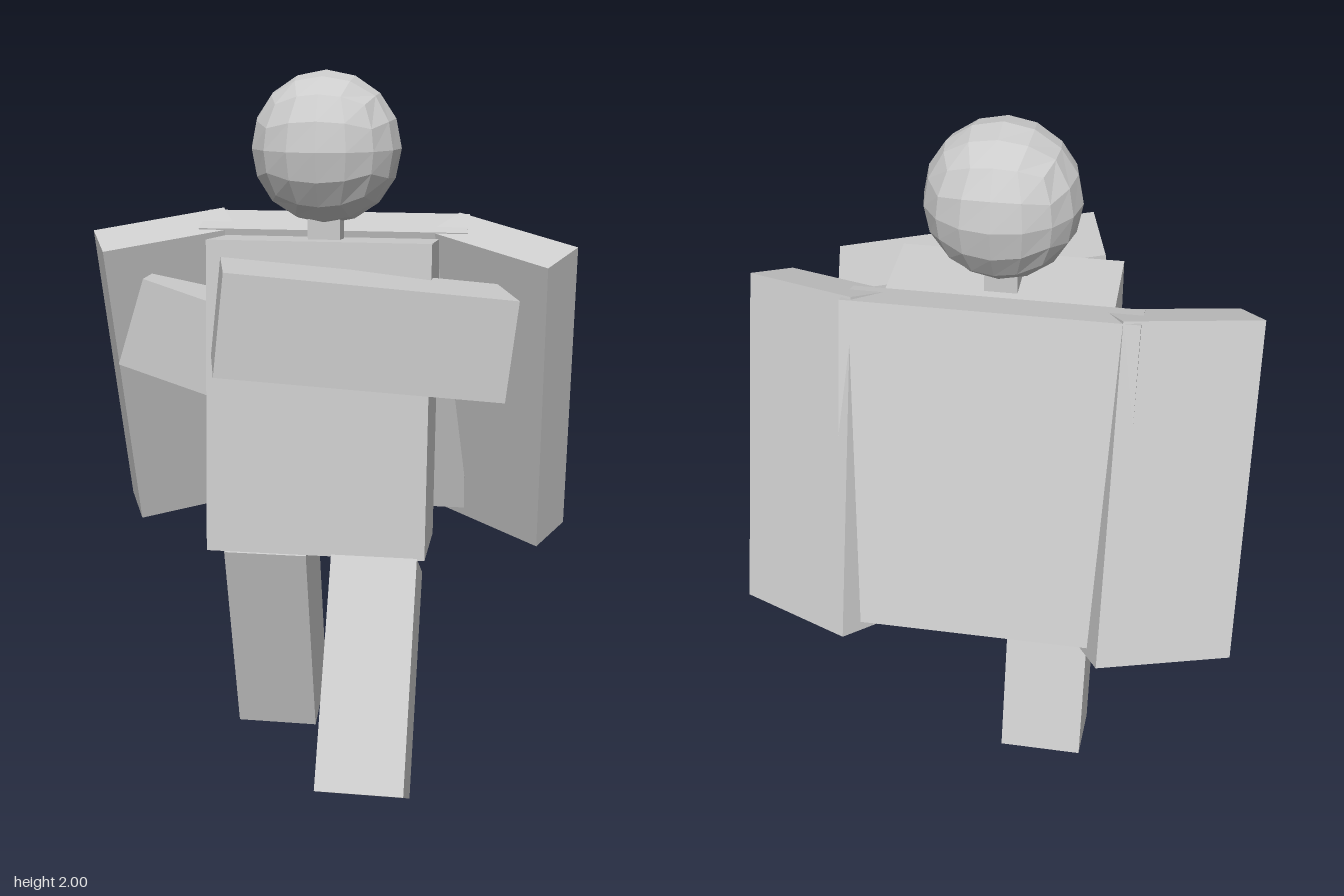
import * as THREE from 'three';

const grey = new THREE.MeshStandardMaterial({ color: 0xcccccc, flatShading: true });
grey.name = 'plain grey';

// Box placed by its centre and turned by Euler angles
function block(name, size, position, rotation = [0, 0, 0], order = 'XYZ') {
  const mesh = new THREE.Mesh(new THREE.BoxGeometry(...size), grey);
  mesh.name = name;
  mesh.position.set(...position);
  mesh.rotation.set(...rotation, order);
  return mesh;
}

// Faceted ball: a subdivided cube pushed out onto a sphere
function quadSphere(radius, segments) {
  const geometry = new THREE.BoxGeometry(2, 2, 2, segments, segments, segments);
  const p = geometry.attributes.position;
  const v = new THREE.Vector3();
  const spread = (t) => Math.tan(t * Math.PI / 4);
  for (let i = 0; i < p.count; i++) {
    v.fromBufferAttribute(p, i);
    v.set(spread(v.x), spread(v.y), spread(v.z)).setLength(radius);
    p.setXYZ(i, v.x, v.y, v.z);
  }
  geometry.computeVertexNormals();
  return geometry;
}

export function createModel() {
  const model = new THREE.Group();
  model.name = 'caped figure';

  // Head and neck
  const head = new THREE.Mesh(quadSphere(0.21, 4), grey);
  head.name = 'head';
  head.position.set(0, 1.79, -0.004);
  model.add(head, block('neck', [0.09, 0.14, 0.09], [0, 1.56, 0]));

  // Torso, leaning back slightly
  model.add(block('torso', [0.62, 0.878, 0.313], [0, 1.1, 0.034], [-0.08, 0, 0]));

  // Left arm folded across the chest, right arm tucked behind
  model.add(
    block('leftArm', [0.761, 0.27, 0.273], [0.135, 1.34, 0.291], [0, 0.2415, -0.112], 'YXZ'),
    block('rightArm', [0.76, 0.264, 0.27], [-0.196, 1.18, -0.075], [0, 0, -0.31])
  );

  // Striding legs
  model.add(
    block('leftLeg', [0.242, 0.646, 0.235], [0.168, 0.342, 0.283], [-0.52, 0, 0]),
    block('rightLeg', [0.242, 0.65, 0.236], [-0.164, 0.35, -0.09], [0.28, 0, 0])
  );

  // Cape: a back panel with two angled side panels
  const cape = new THREE.Group();
  cape.name = 'cape';
  cape.add(
    block('capeBack', [0.78, 0.925, 0.15], [0, 1.12, -0.289], [0.256, 0, 0]),
    block('capeLeftSide', [0.4, 0.955, 0.153], [0.49, 1.084, -0.226], [0.327, -0.556, 0]),
    block('capeRightSide', [0.395, 0.953, 0.151], [-0.491, 1.093, -0.253], [0.33, 0.445, 0])
  );
  model.add(cape);

  return model;
}
